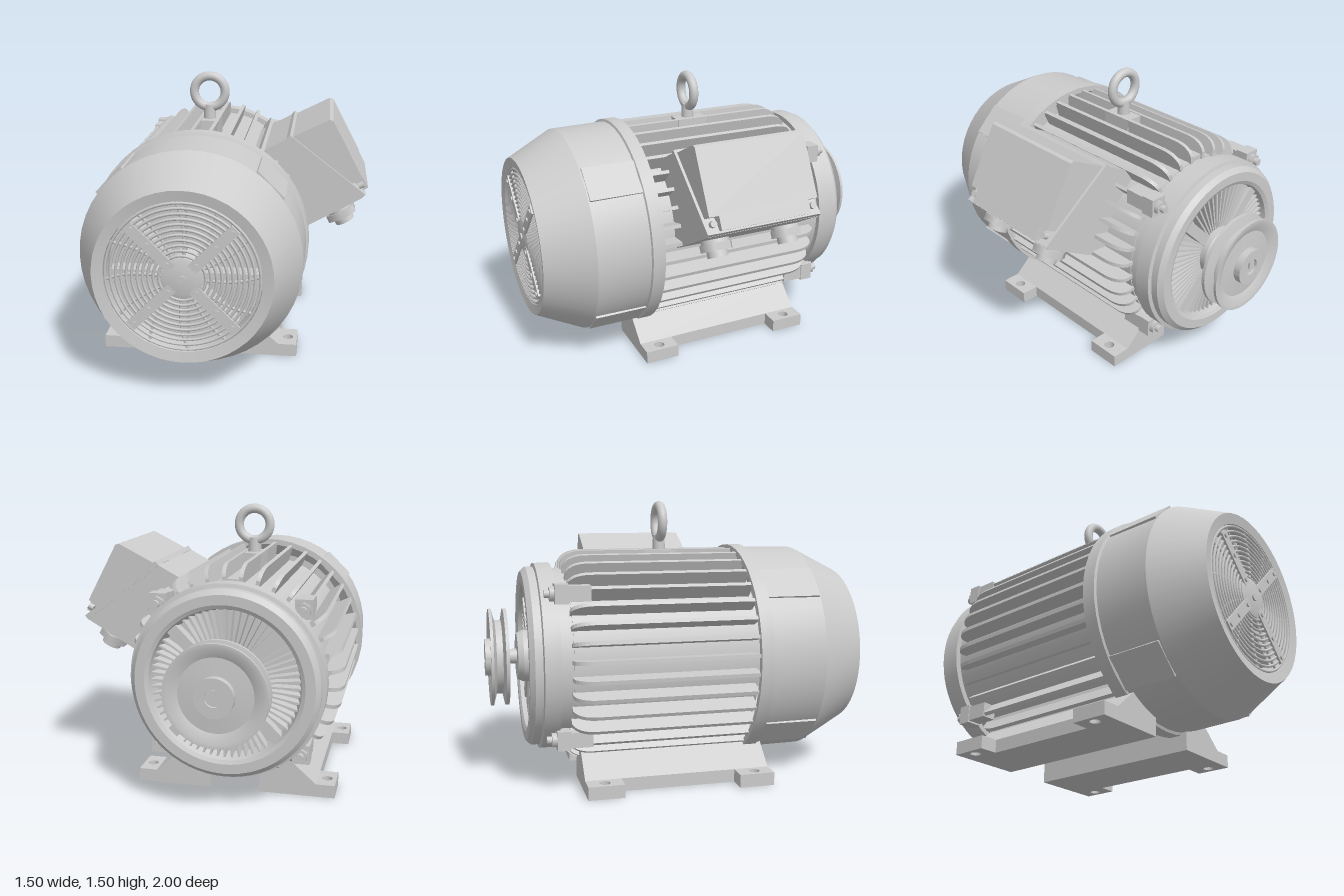
import * as THREE from 'three';
import { toCreasedNormals } from 'three/addons/utils/BufferGeometryUtils.js';

const mat = new THREE.MeshStandardMaterial({ color: 0xcccccc, side: THREE.DoubleSide });

function add(parent, name, geo, x = 0, y = 0, z = 0) {
  const m = new THREE.Mesh(geo, mat);
  m.name = name;
  m.position.set(x, y, z);
  parent.add(m);
  return m;
}
function group(parent, name) {
  const g = new THREE.Group();
  g.name = name;
  parent.add(g);
  return g;
}
// Turned part about z from (radius, z) pairs
function turned(pts, sides = 64) {
  const g = new THREE.LatheGeometry(pts.map(p => new THREE.Vector2(p[0], p[1])), sides);
  return toCreasedNormals(g.rotateX(Math.PI / 2), 0.45);
}
// Outline in xy extruded from z0 to z1
function prism(pts, z0, z1, holes = []) {
  const s = new THREE.Shape(pts.map(p => new THREE.Vector2(p[0], p[1])));
  for (const [x, y, r] of holes) s.holes.push(new THREE.Path().absarc(x, y, r, 0, Math.PI * 2, true));
  return new THREE.ExtrudeGeometry(s, { depth: z1 - z0, bevelEnabled: false, curveSegments: 16 }).translate(0, 0, z0);
}
const box = (w, h, d) => new THREE.BoxGeometry(w, h, d);
const rod = (r, len, sides = 24) => new THREE.CylinderGeometry(r, r, len, sides).rotateX(Math.PI / 2);

function buildStator(motor) {
  const g = group(motor, 'statorBody');
  add(g, 'statorCore', turned([[0, -0.58], [0.48, -0.58], [0.48, 0.4], [0, 0.4]], 72));
  // Radial cooling fins with rounded rear ends
  const s = new THREE.Shape();
  s.moveTo(0.46, 0.38);
  s.lineTo(0.46, -0.59);
  s.lineTo(0.515, -0.59);
  s.quadraticCurveTo(0.57, -0.57, 0.575, -0.48);
  s.lineTo(0.575, 0.38);
  const fin = new THREE.ExtrudeGeometry(s, { depth: 0.02, bevelEnabled: false, curveSegments: 6 })
    .translate(0, 0, -0.01).rotateX(Math.PI / 2);
  for (let i = 0; i < 36; i++) add(g, 'coolingFin', fin).rotation.z = (5 + 10 * i) * Math.PI / 180;
  // Top pad and lifting eye
  add(g, 'topStrip', box(0.1, 0.06, 0.94), 0, 0.47, -0.11);
  add(g, 'eyePad', box(0.12, 0.14, 0.18), 0, 0.5, -0.035);
  add(g, 'eyeShank', new THREE.CylinderGeometry(0.032, 0.036, 0.1, 24), 0, 0.6, -0.03);
  add(g, 'liftingEye', new THREE.TorusGeometry(0.088, 0.026, 16, 48), 0, 0.722, -0.03);
}

function buildFanCover(motor) {
  const g = group(motor, 'fanCover');
  add(g, 'coverShell', turned([
    [0.39, 0.97], [0.39, 0.84], [0.54, 0.72], [0.56, 0.37], [0.592, 0.37], [0.592, 0.44],
    [0.578, 0.445], [0.574, 0.74], [0.445, 0.995], [0.39, 0.985], [0.39, 0.97]], 48));
  for (let i = 0; i < 4; i++) {
    const arm = group(g, 'coverQuarter');
    arm.rotation.z = Math.PI / 4 + i * Math.PI / 2;
    add(arm, 'coverFlat', box(0.04, 0.19, 0.29), 0.558, 0, 0.588);
    add(arm, 'grilleArm', box(0.3, 0.055, 0.014), 0.22, 0, 0.985);
    for (const r of [0.1, 0.235, 0.345]) add(arm, 'rivet', rod(0.013, 0.02, 12), r, 0, 0.99);
  }
  // Grille
  for (let i = 0; i < 11; i++)
    add(g, 'grilleRing', new THREE.TorusGeometry(0.115 + i * 0.0265, 0.0075, 6, 56), 0, 0, 0.978);
  add(g, 'grilleHub', turned([[0, 0.965], [0.105, 0.965], [0.105, 0.985], [0.08, 0.992], [0, 0.992]], 40));
  add(g, 'grilleHubScrew', rod(0.02, 0.02, 12), 0, 0, 0.99);
  const pts = [0, 1, 2, 3].map(k => {
    const r = 0.1 + k * 0.0965, a = 0.016 * k * k;
    return new THREE.Vector3(r * Math.cos(a), r * Math.sin(a), 0.972);
  });
  const spoke = new THREE.TubeGeometry(new THREE.CatmullRomCurve3(pts), 10, 0.008, 6);
  for (let i = 0; i < 12; i++) add(g, 'grilleSpoke', spoke).rotation.z = i * Math.PI / 6 - 0.08;
  // Fan behind the grille
  add(g, 'fanDisc', turned([[0, 0.8], [0.44, 0.8], [0.44, 0.83], [0.1, 0.83], [0.08, 0.93], [0, 0.93]], 48));
  for (let i = 0; i < 8; i++) {
    const blade = group(g, 'fanBlade');
    blade.rotation.z = i * Math.PI / 4;
    add(blade, 'fanVane', box(0.27, 0.014, 0.09), 0.235, 0, 0.87);
  }
}

function buildDriveEnd(motor) {
  const g = group(motor, 'driveEnd');
  add(g, 'endShield', turned([
    [0, -0.83], [0.125, -0.83], [0.14, -0.8], [0.14, -0.71], [0.37, -0.71], [0.39, -0.79], [0.41, -0.8],
    [0.46, -0.8], [0.485, -0.775], [0.485, -0.735], [0.505, -0.73], [0.505, -0.645], [0.475, -0.645],
    [0.475, -0.5], [0, -0.5]]));
  // Ribs in the shield recess, in four banks between solid webs
  for (let q = 0; q < 4; q++) {
    const bank = group(g, 'shieldBank');
    bank.rotation.z = q * Math.PI / 2;
    for (let i = -6; i <= 6; i++) {
      const rib = group(bank, 'shieldRib');
      rib.rotation.z = i * 0.098;
      add(rib, 'rib', box(0.25, 0.01, 0.06), 0.26, 0, -0.735);
    }
    const web = group(bank, 'shieldWeb');
    web.rotation.z = Math.PI / 4;
    add(web, 'web', box(0.26, 0.06, 0.07), 0.26, 0, -0.735);
  }
  // Clamping lugs and bolts
  for (const sx of [-1, 1]) for (const sy of [-1, 1]) {
    const lug = group(g, 'clampLug');
    lug.position.set(sx * 0.375, sy * 0.378, 0);
    add(lug, 'bodyLug', box(0.08, 0.08, 0.13), 0, 0, -0.545);
    add(lug, 'shieldLug', box(0.09, 0.1, 0.07), 0, 0, -0.63);
    add(lug, 'nut', rod(0.038, 0.03, 6), 0, 0, -0.675);
    add(lug, 'bolt', rod(0.02, 0.06, 16), 0, 0, -0.685);
  }
  add(g, 'shaft', rod(0.04, 0.16, 32), 0, 0, -0.85);
  add(g, 'pulley', turned([
    [0, -0.985], [0.045, -0.985], [0.045, -1], [0.1, -1], [0.1, -0.962], [0.19, -0.955], [0.24, -0.977],
    [0.262, -0.977], [0.262, -0.962], [0.2, -0.945], [0.2, -0.912], [0.262, -0.9], [0.262, -0.882],
    [0.235, -0.882], [0.2, -0.9], [0, -0.9]]));
  add(g, 'shaftKey', box(0.02, 0.05, 0.015), 0, 0.015, -0.988);
}

function buildTerminalBox(motor) {
  const g = group(motor, 'terminalBox');
  g.rotation.z = 28 * Math.PI / 180;
  add(g, 'boxBase', prism([[0.44, -0.24], [0.87, -0.225], [0.65, 0.25], [0.44, 0.25]], -0.385, 0.265));
  add(g, 'boxFlange', prism([[0.865, -0.225], [0.892, -0.215], [0.675, 0.262], [0.648, 0.252]], -0.39, 0.27));
  // Lid: full-width upper part, narrower lower lip
  add(g, 'lidUpper', prism([[0.84, -0.13], [0.915, -0.13], [0.915, 0.225], [0.9, 0.24], [0.67, 0.245]], -0.375, 0.255));
  add(g, 'lidLower', prism([[0.875, -0.205], [0.915, -0.205], [0.915, -0.12], [0.835, -0.12]], -0.32, 0.2));
  for (const z of [-0.35, 0.23]) {
    const screw = add(g, 'lidScrew', rod(0.018, 0.03, 12), 0.89, -0.165, z);
    screw.rotation.y = Math.PI / 2;
  }
  // Cable glands on the underside
  for (const z of [-0.26, 0.16]) {
    const gland = group(g, 'cableGland');
    gland.position.set(0.715, -0.24, z);
    add(gland, 'glandCollar', new THREE.CylinderGeometry(0.075, 0.075, 0.03, 32), 0, -0.01, 0);
    add(gland, 'glandNut', new THREE.CylinderGeometry(0.092, 0.092, 0.04, 6), 0, -0.035, 0);
    const tip = turned([[0.03, -0.02], [0.055, -0.02], [0.055, 0.02], [0.03, 0.02], [0.03, -0.02]], 32);
    add(gland, 'glandMouth', tip, 0, -0.07, 0).rotation.x = Math.PI / 2;
  }
}

function buildFeet(model) {
  const wedge = prism([[0.135, 0], [0.44, 0], [0.44, 0.07], [0.315, 0.18], [0.28, 0.31], [0.135, 0.24]], -0.53, 0.47);
  // Bolt-down pad with a hole, lying flat
  const pad = prism([[0.43, -0.095], [0.54, -0.095], [0.54, 0.095], [0.43, 0.095]], 0, 0.07, [[0.49, 0, 0.028]])
    .rotateX(-Math.PI / 2);
  for (const side of [-1, 1]) {
    const foot = group(model, side > 0 ? 'leftFoot' : 'rightFoot');
    foot.position.x = -0.16;
    foot.scale.x = side;
    add(foot, 'footWedge', wedge);
    for (const z of [0.375, -0.435]) add(foot, 'footPad', pad, 0, 0, z);
  }
}

export function createModel() {
  const model = new THREE.Group();
  model.name = 'electricMotor';
  const motor = group(model, 'motor');
  motor.position.set(-0.16, 0.66, 0);
  buildStator(motor);
  buildFanCover(motor);
  buildDriveEnd(motor);
  buildTerminalBox(motor);
  buildFeet(model);
  return model;
}
